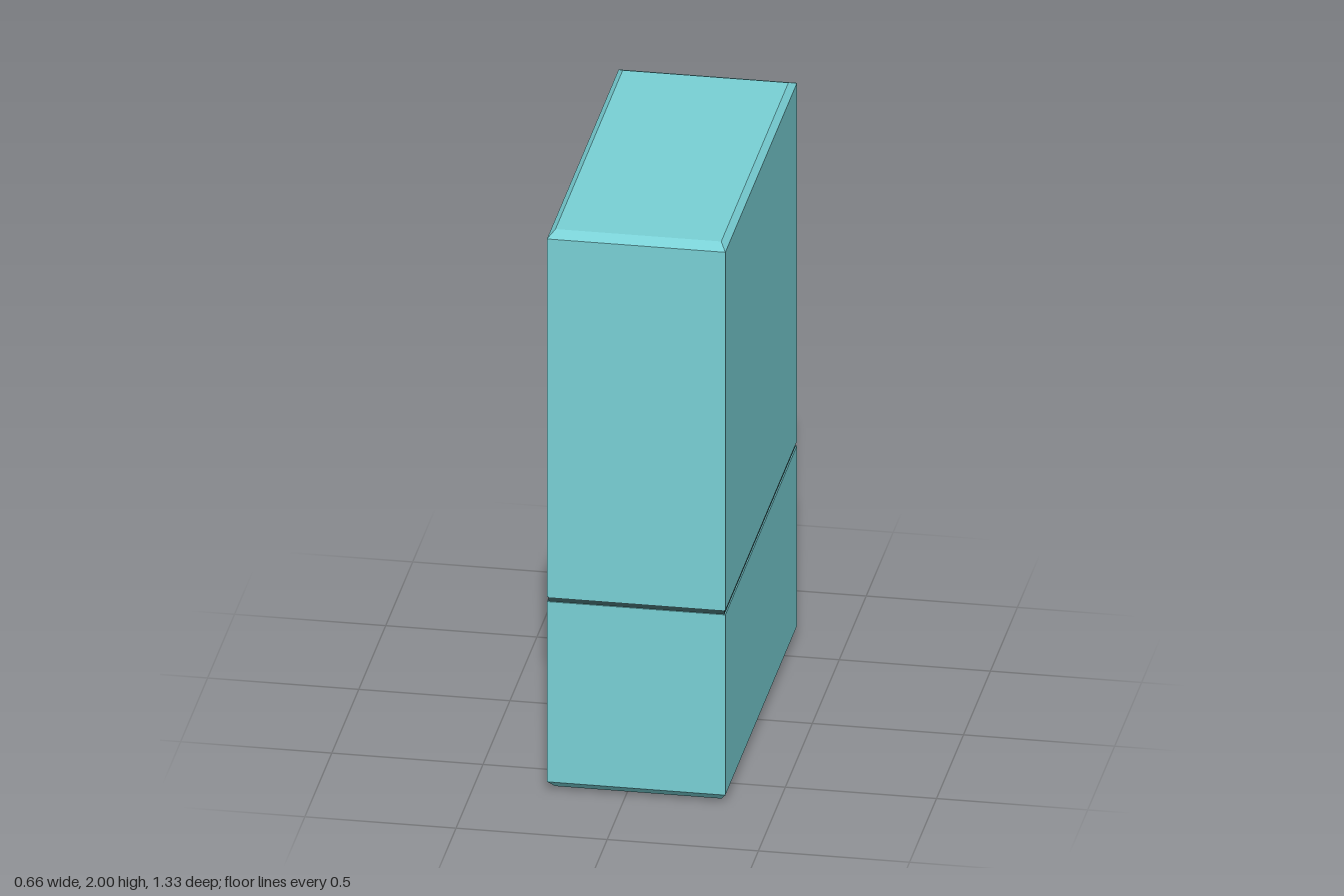
import * as THREE from 'three';

const MID_X = 0.036, WIDTH = 0.59, DEPTH = 1.33;

// Box from y0 to y1 whose bottom and top faces can be inset separately
function block(y0, y1, bottomInset = [0, 0], topInset = [0, 0]) {
  const g = new THREE.BoxGeometry(WIDTH, y1 - y0, DEPTH);
  const p = g.attributes.position;
  for (let i = 0; i < p.count; i++) {
    const inset = p.getY(i) > 0 ? topInset : bottomInset;
    p.setX(i, p.getX(i) - Math.sign(p.getX(i)) * inset[0]);
    p.setZ(i, p.getZ(i) - Math.sign(p.getZ(i)) * inset[1]);
  }
  g.computeVertexNormals();
  g.translate(MID_X, (y0 + y1) / 2, 0);
  return g;
}

// Hooked grip: plan outline (x, z) extruded upwards
function handle(y0, y1) {
  const outline = [
    [-0.25, -0.55], [-0.295, -0.55], [-0.315, -0.49], [-0.328, -0.487],
    [-0.328, -0.54], [-0.334, -0.54], [-0.334, -0.484], [-0.315, -0.484],
    [-0.295, -0.45], [-0.25, -0.45],
  ];
  const shape = new THREE.Shape(outline.map(([x, z]) => new THREE.Vector2(x, -z)));
  const g = new THREE.ExtrudeGeometry(shape, { depth: y1 - y0, bevelEnabled: false });
  g.rotateX(-Math.PI / 2);
  g.translate(0, y0, 0);
  return g;
}

export function createModel() {
  const group = new THREE.Group();
  const material = (name, color) => {
    const m = new THREE.MeshStandardMaterial({ color });
    m.name = name;
    return m;
  };
  const enamel = material('turquoise enamel', 0x78d0d5);
  const gasket = material('dark seam', 0x2a4748);
  const metal = material('grey metal', 0xcccccc);

  const add = (name, geometry, mat) => {
    const mesh = new THREE.Mesh(geometry, mat);
    mesh.name = name;
    group.add(mesh);
  };

  // Cabinet with chamfered foot and lid, split by a thin recessed seam
  add('chamferedFoot', block(0, 0.033, [0.02, 0.042]), enamel);
  add('lowerCabinet', block(0.033, 0.68), enamel);
  add('doorSeam', block(0.68, 0.696, [0.004, 0.004], [0.004, 0.004]), gasket);
  add('upperCabinet', block(0.696, 1.982), enamel);
  add('chamferedLid', block(1.982, 2, [0, 0], [0.021, 0.042]), enamel);

  // Door handles
  add('lowerHandle', handle(0.39, 0.6), metal);
  add('upperHandle', handle(1.03, 1.29), metal);
  return group;
}
